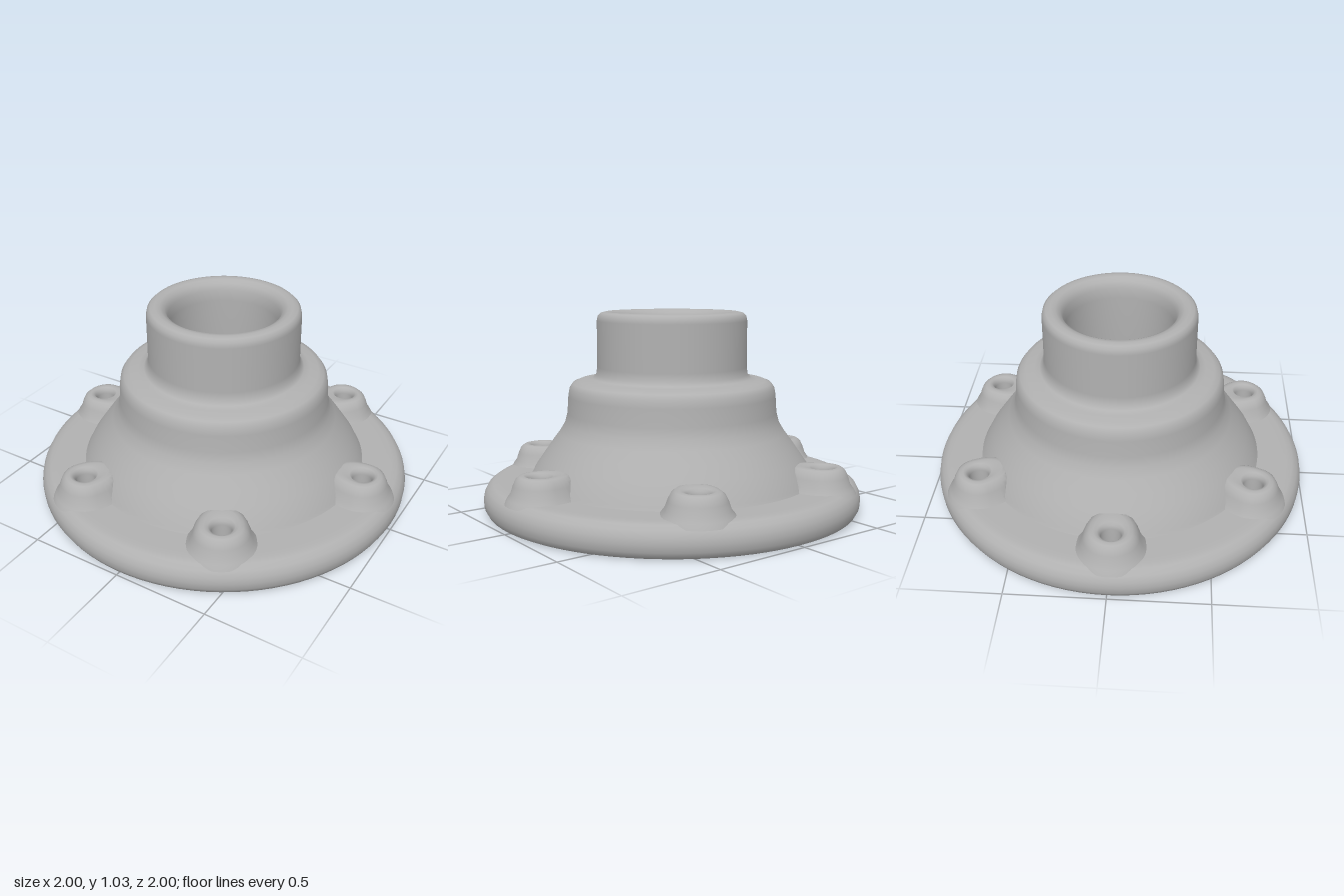
import * as THREE from 'three';
import { mergeVertices } from 'three/addons/utils/BufferGeometryUtils.js';

const vec = (pts) => pts.map(([r, y]) => new THREE.Vector2(r, y));

export function createModel() {
  const model = new THREE.Group();
  const grey = new THREE.MeshStandardMaterial({ color: 0xb0b0b0 });
  grey.name = 'cast grey';
  const add = (name, geometry) => {
    const mesh = new THREE.Mesh(geometry, grey);
    mesh.name = name;
    model.add(mesh);
    return mesh;
  };

  // Bolt hole centres as x, z
  const holes = [[0.815, -0.02], [0.41, 0.7], [-0.4, 0.71], [-0.815, 0.01], [-0.42, -0.705], [0.395, -0.72]];
  const holeRadius = 0.05;

  // Hollow bell and neck: up the outside, over the lip, down the bore and the inner cone
  add('body', new THREE.LatheGeometry(vec([
    [0.765, 0.155], [0.753, 0.175], [0.728, 0.225], [0.69, 0.28], [0.645, 0.345], [0.6, 0.405], [0.57, 0.455],
    [0.556, 0.51], [0.55, 0.6], [0.543, 0.64], [0.525, 0.665], [0.495, 0.677], [0.45, 0.682], [0.42, 0.69],
    [0.402, 0.71], [0.396, 0.75], [0.396, 0.99], [0.39, 1.017], [0.375, 1.031], [0.35, 1.037], [0.325, 1.033],
    [0.3, 1.018], [0.285, 0.985], [0.278, 0.93], [0.278, 0.64], [0.285, 0.615], [0.305, 0.6], [0.39, 0.595],
    [0.42, 0.58], [0.432, 0.55], [0.44, 0.51], [0.465, 0.465], [0.53, 0.36], [0.685, 0.105], [0.7, 0.08],
  ]), 96));

  // Rounded outer rim, with a lip hanging below the flange
  add('rim', new THREE.LatheGeometry(vec([
    [0.88, 0.08], [0.905, 0.066], [0.93, 0.042], [0.95, 0.016], [0.965, 0.004], [0.982, 0.012],
    [0.997, 0.04], [1, 0.075], [0.994, 0.105], [0.978, 0.135], [0.95, 0.154], [0.92, 0.16], [0.88, 0.16],
  ]), 96));

  // Flat flange drilled with the bolt holes
  const ring = new THREE.Shape().absarc(0, 0, 0.88, 0, Math.PI * 2, false);
  ring.holes.push(new THREE.Path().absarc(0, 0, 0.7, 0, Math.PI * 2, true));
  for (const [x, z] of holes) {
    ring.holes.push(new THREE.Path().absarc(x, z, holeRadius, 0, Math.PI * 2, true));
  }
  const flange = new THREE.ExtrudeGeometry(ring, { depth: 0.08, bevelEnabled: false, curveSegments: 48 });
  flange.rotateX(Math.PI / 2).translate(0, 0.16, 0);
  add('flange', flange);

  // Flared bolt boss, stretched inwards until it runs into the wall of the bell
  let boss = new THREE.LatheGeometry(vec([
    [0.185, 0.135], [0.17, 0.162], [0.152, 0.185], [0.138, 0.225], [0.124, 0.253], [0.105, 0.268],
    [0.085, 0.272], [0.066, 0.268], [0.054, 0.255], [holeRadius, 0.235], [holeRadius, 0.15],
  ]), 40);
  const p = boss.attributes.position;
  for (let i = 0; i < p.count; i++) {
    const x = p.getX(i), r = Math.hypot(x, p.getZ(i));
    const wall = -0.09 - 0.4 * (p.getY(i) - 0.13);
    if (r > 0.07) p.setX(i, x < 0 ? Math.max(x * 1.5, wall) : x * 0.92);
  }
  boss.deleteAttribute('uv');
  boss.deleteAttribute('normal');
  boss = mergeVertices(boss, 1e-4);
  boss.computeVertexNormals();
  for (const [x, z] of holes) {
    const mesh = add('boltBoss', boss);
    mesh.position.set(x, 0, z);
    mesh.rotation.y = -Math.atan2(z, x);
  }

  return model;
}
